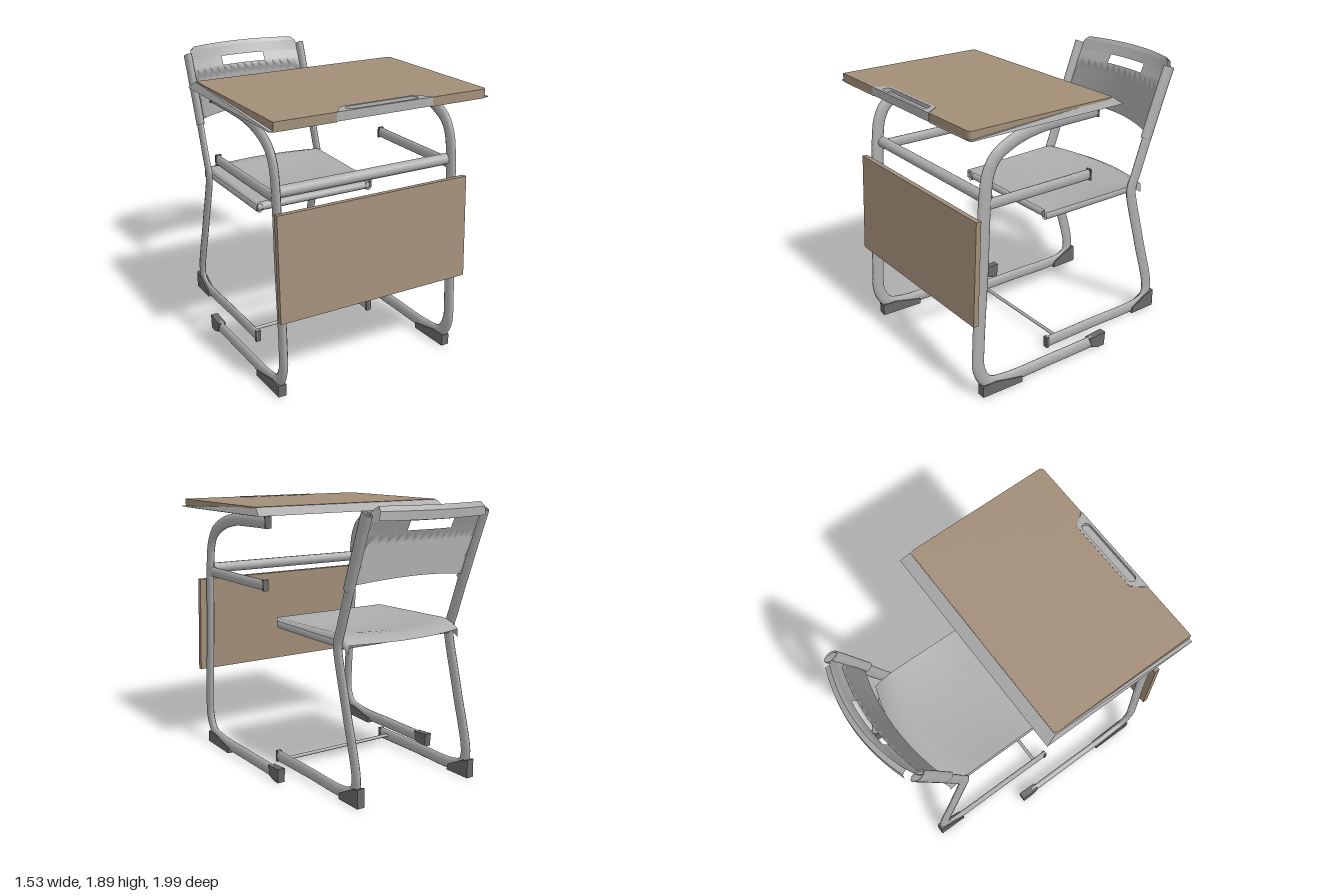
import * as THREE from 'three';
import { ParametricGeometry } from 'three/addons/geometries/ParametricGeometry.js';

export function createModel() {
  const wood = new THREE.MeshStandardMaterial({ color: 0xa18e78 });
  wood.name = 'wood';
  const grey = new THREE.MeshStandardMaterial({ color: 0xadadad, side: THREE.DoubleSide });
  grey.name = 'grey';
  const rubber = new THREE.MeshStandardMaterial({ color: 0x686868 });
  rubber.name = 'rubber';

  const model = new THREE.Group();
  const desk = new THREE.Group();
  desk.name = 'desk';
  desk.position.x = -0.008;
  const chair = new THREE.Group();
  chair.name = 'chair';
  chair.position.x = -0.015;
  model.add(desk, chair);

  function add(parent, name, geometry, material) {
    const mesh = new THREE.Mesh(geometry, material);
    mesh.name = name;
    parent.add(mesh);
    return mesh;
  }

  // Flattened tube bent in a side plane; points are [z, y]
  function sideTube(points, x, radius, flat = 0.5) {
    const curve = new THREE.CatmullRomCurve3(points.map(([z, y]) => new THREE.Vector3(0, y, z)), false, 'centripetal');
    const g = new THREE.TubeGeometry(curve, points.length * 6, radius, 10);
    g.scale(flat, 1, 1);
    return g.translate(x, 0, 0);
  }

  // Straight round bar running across x
  function crossBar(length, radius, y, z) {
    return new THREE.CylinderGeometry(radius, radius, length, 10).rotateZ(Math.PI / 2).translate(0, y, z);
  }

  // Block with a side profile of [z, y] points
  function sideBlock(points, x, width) {
    const shape = new THREE.Shape(points.map(([z, y]) => new THREE.Vector2(z, y)));
    const g = new THREE.ExtrudeGeometry(shape, { depth: width, bevelEnabled: false });
    return g.rotateY(-Math.PI / 2).translate(x + width / 2, 0, 0);
  }

  // Horizontal slab from an outline in x and z, hanging down from y
  function slab(shape, y, depth) {
    const g = new THREE.ExtrudeGeometry(shape, { depth, bevelEnabled: false, curveSegments: 6 });
    return g.rotateX(Math.PI / 2).translate(0, y, 0);
  }

  // Table top with a notch for the pen tray
  const top = new THREE.Shape();
  top.moveTo(-0.74, 0.985);
  top.lineTo(-0.74, -0.04);
  top.quadraticCurveTo(-0.74, -0.068, -0.71, -0.068);
  top.lineTo(0.72, -0.068);
  top.quadraticCurveTo(0.75, -0.068, 0.75, -0.04);
  top.lineTo(0.75, 0.955);
  top.quadraticCurveTo(0.75, 0.985, 0.72, 0.985);
  top.lineTo(0.335, 0.985);
  top.lineTo(0.27, 0.895);
  top.lineTo(-0.26, 0.895);
  top.lineTo(-0.335, 0.985);
  add(desk, 'tableTop', slab(top, 1.855, 0.059), wood);

  // Bevelled rim, rising from nothing at the front to full height at the back
  const rim = new THREE.BoxGeometry(1.53, 1, 1);
  const p = rim.attributes.position;
  for (let i = 0; i < p.count; i++) {
    const upper = p.getY(i) > 0;
    const front = p.getZ(i) > 0;
    const inset = upper && !front ? 0.975 : 1;
    p.setXYZ(i, p.getX(i) * inset, upper ? (front ? 1.806 : 1.852) : 1.8, front ? 0.985 : upper ? -0.07 : -0.14);
  }
  rim.computeVertexNormals();
  add(desk, 'tableRim', rim, grey);

  // Pen tray with a rounded groove
  const tray = new THREE.Shape([[-0.335, 0.988], [-0.26, 0.895], [0.27, 0.895], [0.335, 0.988]].map(([x, z]) => new THREE.Vector2(x, z)));
  const groove = new THREE.Path();
  groove.moveTo(-0.22, 0.912);
  groove.lineTo(0.225, 0.912);
  groove.absarc(0.225, 0.941, 0.029, -Math.PI / 2, Math.PI / 2, false);
  groove.lineTo(-0.22, 0.97);
  groove.absarc(-0.22, 0.941, 0.029, Math.PI / 2, Math.PI * 1.5, false);
  tray.holes.push(groove);
  add(desk, 'penTray', slab(tray, 1.857, 0.055), grey);
  add(desk, 'penTrayFloor', new THREE.BoxGeometry(0.54, 0.025, 0.075).translate(0.003, 1.82, 0.941), grey);

  // Front panel, leaning slightly
  const panel = add(desk, 'frontPanel', new THREE.BoxGeometry(1.38, 0.69, 0.035), wood);
  panel.position.set(0.003, 0.925, 0.92);
  panel.rotation.x = -0.058;

  add(desk, 'deskCrossBar', crossBar(1.27, 0.037, 1.362, 0.79), grey);

  for (const s of [-1, 1]) {
    const x = s * 0.64;
    // Bent side frame: foot, upright and table arm in one tube
    add(desk, 'deskFrame', sideTube([
      [-0.13, 0.06], [0.3, 0.065], [0.7, 0.075], [0.83, 0.11], [0.892, 0.22], [0.89, 0.4], [0.85, 0.9],
      [0.815, 1.4], [0.79, 1.53], [0.735, 1.62], [0.6, 1.695], [0.42, 1.737], [0.2, 1.747], [-0.035, 1.75],
    ], x, 0.044), grey);
    add(desk, 'tableArmCap', new THREE.BoxGeometry(0.046, 0.08, 0.012).translate(x, 1.75, -0.036), rubber);
    // Shelf arm
    add(desk, 'shelfArm', sideTube([[0.79, 1.335], [0.4, 1.333], [0.015, 1.333]], x, 0.036), grey);
    add(desk, 'shelfArmCap', new THREE.BoxGeometry(0.04, 0.075, 0.012).translate(x, 1.333, 0.012), rubber);
    // Rubber feet
    add(desk, 'deskFrontFoot', sideBlock([[0.88, 0.02], [0.88, 0.1], [0.78, 0.1], [0.57, 0.05], [0.57, 0.01]], x, 0.056), rubber);
    add(desk, 'deskBackFoot', sideBlock([[-0.04, 0.03], [-0.1, 0.01], [-0.15, 0.01], [-0.16, 0.11], [-0.02, 0.1]], x, 0.052), rubber);

    // Chair side frame: foot, leg and back post
    const cx = s * 0.46;
    add(chair, 'chairFrame', sideTube([
      [0.2, 0.06], [-0.2, 0.06], [-0.64, 0.06], [-0.73, 0.09], [-0.76, 0.17], [-0.66, 0.58], [-0.565, 0.94],
      [-0.555, 1.01], [-0.6, 1.14], [-0.72, 1.47], [-0.86, 1.84],
    ], cx, 0.044, 0.42), grey);
    add(chair, 'chairFrontCap', new THREE.BoxGeometry(0.038, 0.08, 0.02).translate(cx, 0.06, 0.195), rubber);
    add(chair, 'chairBackFoot', sideBlock([[-0.81, 0.01], [-0.81, 0.14], [-0.75, 0.125], [-0.61, 0.055], [-0.6, 0.01]], cx, 0.054), rubber);
    // Plastic sleeve over the back post
    add(chair, 'backrestSleeve', sideTube([[-0.675, 1.37], [-0.77, 1.62], [-0.86, 1.85]], cx, 0.05, 0.5), grey);
    // Seat rail
    add(chair, 'seatRail', sideTube([[0.2, 1.018], [-0.2, 1.018], [-0.58, 1.018]], s * 0.43, 0.032, 0.8), grey);
  }
  add(chair, 'seatFrontBar', crossBar(0.88, 0.028, 1.018, 0.17), grey);
  add(chair, 'seatBackBar', crossBar(0.92, 0.028, 1.01, -0.56), grey);
  add(chair, 'footCrossBar', crossBar(0.92, 0.012, 0.065, 0.1), grey);

  // Dished seat shell with short side skirts and a rolled back edge
  const seat = new ParametricGeometry((a, b, v) => {
    const edge = a < 0.01 || a > 0.99;
    const u = THREE.MathUtils.clamp((a - 0.5) * 2.2, -1, 1);
    const back = -0.74 + 0.08 * u * u;
    const dish = 0.035 * (1 - u * u) * Math.sin(Math.PI * Math.min(1, b * 1.1));
    const roll = 0.06 * Math.pow(Math.max(0, 1 - b / 0.18), 2);
    const y = 1.088 - 0.022 * b - dish - roll - (edge ? 0.06 : 0);
    v.set(0.45 * u, y, back + (0.21 - back) * b);
  }, 20, 16);
  add(chair, 'seat', seat, grey);

  // Curved backrest shell with a folded top edge; profile rows are [y, z, half width]
  const rows = [[1.4, -0.685, 0.46], [1.52, -0.725, 0.465], [1.66, -0.785, 0.465], [1.74, -0.815, 0.46],
    [1.8, -0.845, 0.455], [1.87, -0.875, 0.43], [1.895, -0.895, 0.4], [1.865, -0.925, 0.41], [1.81, -0.925, 0.42]];
  const rest = new ParametricGeometry((a, b, v) => {
    const u = a * 2 - 1;
    const bow = 1 - u * u;
    const [y, z, w] = rows[Math.round(b * (rows.length - 1))];
    v.set(w * u, y + 0.04 * bow * Math.max(0, 1 - b * 3), z - 0.075 * bow);
  }, 16, rows.length - 1);
  // Grip slot: leave out the faces in its area
  const rp = rest.attributes.position;
  const kept = [];
  for (let i = 0; i < rest.index.count; i += 3) {
    const t = [0, 1, 2].map((k) => rest.index.getX(i + k));
    const mid = (axis) => t.reduce((sum, j) => sum + rp.getComponent(j, axis), 0) / 3;
    const inSlot = Math.abs(mid(0)) < 0.17 && mid(1) > 1.745 && mid(1) < 1.8 && mid(2) > -0.935;
    if (!inSlot) kept.push(...t);
  }
  rest.setIndex(kept);
  add(chair, 'backrest', rest, grey);

  return model;
}
